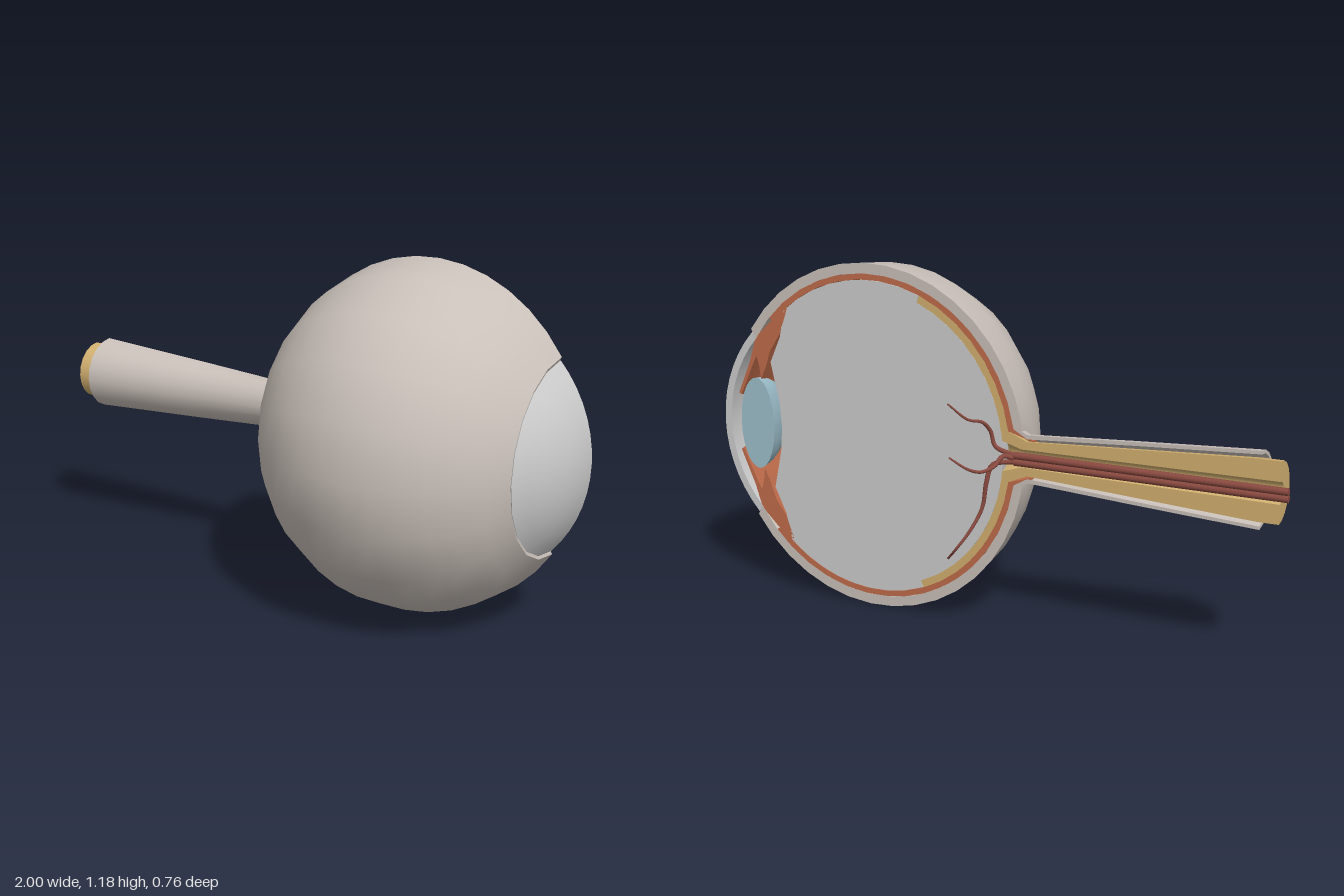
import * as THREE from 'three';
import { toCreasedNormals, mergeGeometries } from 'three/addons/utils/BufferGeometryUtils.js';

const CX = 0.42, AXIS_Y = 0.59, CUT_Z = -0.205;

const mat = (color) => new THREE.MeshStandardMaterial({ color, side: THREE.DoubleSide });
const GREY = mat(0xcccccc), SCLERA = mat(0xc9c0b9), CHOROID = mat(0xbf6c4a);
const NERVE = mat(0xd2b070), LENS = mat(0x9dbfcb), VESSEL = mat(0x8a4a40);

// Elliptic arc as [x, radius] pairs; t = 0 is the back pole, PI the front pole
function arc(cx, a, r, t0, t1, n) {
  return Array.from({ length: n + 1 }, (_, i) => {
    const t = t0 + ((t1 - t0) * i) / n;
    return [cx - a * Math.cos(t), Math.max(0, r * Math.sin(t))];
  });
}

// Half turn of a closed [x, radius] profile about the x axis, with flat cut faces
function halfTurn(name, profile, material) {
  const closed = [...profile, profile[0]].map(([x, r]) => new THREE.Vector2(r, x));
  const lathe = new THREE.LatheGeometry(closed, 10, -Math.PI / 2, Math.PI);
  lathe.rotateZ(-Math.PI / 2);
  const body = toCreasedNormals(lathe, 0.6);
  const caps = [1, -1].map((s) => {
    const shape = new THREE.Shape(profile.map(([x, r]) => new THREE.Vector2(x, s * r)));
    const cap = new THREE.ShapeGeometry(shape).toNonIndexed();
    // Turn the cut face towards -z
    const { position, normal } = cap.attributes;
    for (let i = 0; i < position.count; i += 3) {
      const b = new THREE.Vector3().fromBufferAttribute(position, i + 1);
      const c = new THREE.Vector3().fromBufferAttribute(position, i + 2);
      position.setXYZ(i + 1, c.x, c.y, c.z);
      position.setXYZ(i + 2, b.x, b.y, b.z);
    }
    for (let i = 0; i < normal.count; i++) normal.setXYZ(i, 0, 0, -1);
    return cap;
  });
  const mesh = new THREE.Mesh(mergeGeometries([body, ...caps]), material);
  mesh.name = name;
  mesh.position.set(0, AXIS_Y, CUT_Z);
  return mesh;
}

// Tube through points, narrowing to a fraction of its radius at the far end
function taperedTube(name, points, radius, endScale) {
  const curve = new THREE.CatmullRomCurve3(points.map((p) => new THREE.Vector3(...p)));
  const segs = 32, sides = 8;
  const geo = new THREE.TubeGeometry(curve, segs, radius, sides);
  const pos = geo.attributes.position, v = new THREE.Vector3();
  for (let i = 0; i < pos.count; i++) {
    const u = Math.floor(i / (sides + 1)) / segs;
    const centre = curve.getPointAt(u);
    v.fromBufferAttribute(pos, i).sub(centre).multiplyScalar(1 + (endScale - 1) * u).add(centre);
    pos.setXYZ(i, v.x, v.y, v.z);
  }
  const mesh = new THREE.Mesh(geo, VESSEL);
  mesh.name = name;
  return mesh;
}

export function createModel() {
  const model = new THREE.Group();
  model.name = 'eyeCrossSection';

  // Outer white shell running into the nerve sheath
  model.add(halfTurn('scleraAndSheath', [
    [-0.91, 0.125], [-0.5, 0.102], [-0.14, 0.08], [-0.12, 0.09],
    ...arc(CX, 0.55, 0.588, 0.2, 2.55, 15),
    ...arc(CX, 0.52, 0.553, 2.58, 0.17, 15),
    [-0.14, 0.066], [-0.5, 0.09], [-0.91, 0.114],
  ], SCLERA));

  // Clear front window
  model.add(halfTurn('cornea', [
    ...arc(0.52, 0.475, 0.475, 2.41, Math.PI, 7),
    ...arc(0.52, 0.45, 0.45, Math.PI, 2.41, 7),
  ], GREY));

  // Vascular layer
  model.add(halfTurn('choroid', [
    [-0.16, 0.064],
    ...arc(CX, 0.52, 0.553, 0.17, 2.4, 15),
    ...arc(CX, 0.5, 0.533, 2.4, 0.16, 15),
    [-0.16, 0.059],
  ], CHOROID));

  // Ciliary body and iris
  model.add(halfTurn('ciliaryBodyAndIris', [
    [0.73, 0.425], [0.8, 0.36], [0.86, 0.3], [0.885, 0.22], [0.935, 0.1],
    [0.926, 0.095], [0.878, 0.2], [0.86, 0.235], [0.85, 0.2], [0.845, 0.158],
    [0.825, 0.2], [0.805, 0.26], [0.765, 0.32], [0.74, 0.39],
  ], CHOROID));

  // Retina continuing into the optic nerve, with a central channel
  model.add(halfTurn('retinaAndOpticNerve', [
    [-0.97, 0.1], [-0.9, 0.1], [-0.14, 0.057],
    ...arc(CX, 0.5, 0.533, 0.16, 1.2, 8),
    ...arc(CX, 0.475, 0.508, 1.2, 0.1, 8),
    [-0.12, 0.03], [-0.97, 0.036],
  ], NERVE));

  // Gel filling, hollowed behind the lens
  model.add(halfTurn('vitreousBody', [
    ...arc(CX, 0.475, 0.508, 0, 1.2, 8),
    ...arc(CX, 0.499, 0.532, 1.21, 2.28, 8),
    [0.765, 0.31], [0.805, 0.22], [0.79, 0.15], [0.775, 0.08], [0.77, 0],
  ], GREY));

  model.add(halfTurn('lens', arc(0.865, 0.065, 0.16, 0, Math.PI, 14), LENS));

  // Artery and vein along the nerve
  for (const side of [1, -1]) {
    const vessel = new THREE.Mesh(new THREE.CylinderGeometry(0.012, 0.012, 0.9, 10), VESSEL);
    vessel.name = side > 0 ? 'centralArtery' : 'centralVein';
    vessel.rotation.z = Math.PI / 2;
    vessel.position.set(-0.55, AXIS_Y + side * 0.011, -0.216);
    model.add(vessel);
  }

  // Branches spreading into the eye
  model.add(taperedTube('upperBranch', [
    [-0.1, 0.6, -0.212], [-0.03, 0.62, -0.207], [-0.015, 0.67, -0.212],
    [0, 0.705, -0.24], [0.03, 0.722, -0.285], [0.075, 0.78, -0.335],
  ], 0.009, 0.3));
  model.add(taperedTube('middleBranch', [
    [-0.1, 0.59, -0.212], [-0.07, 0.6, -0.235], [-0.055, 0.575, -0.27],
    [-0.03, 0.565, -0.315], [0, 0.58, -0.35], [0.05, 0.62, -0.38],
  ], 0.009, 0.3));
  model.add(taperedTube('lowerBranch', [
    [-0.1, 0.58, -0.212], [-0.03, 0.565, -0.23], [-0.015, 0.51, -0.244],
    [0, 0.42, -0.246], [0.03, 0.345, -0.28], [0.065, 0.29, -0.305], [0.11, 0.24, -0.275],
  ], 0.009, 0.4));

  return model;
}
